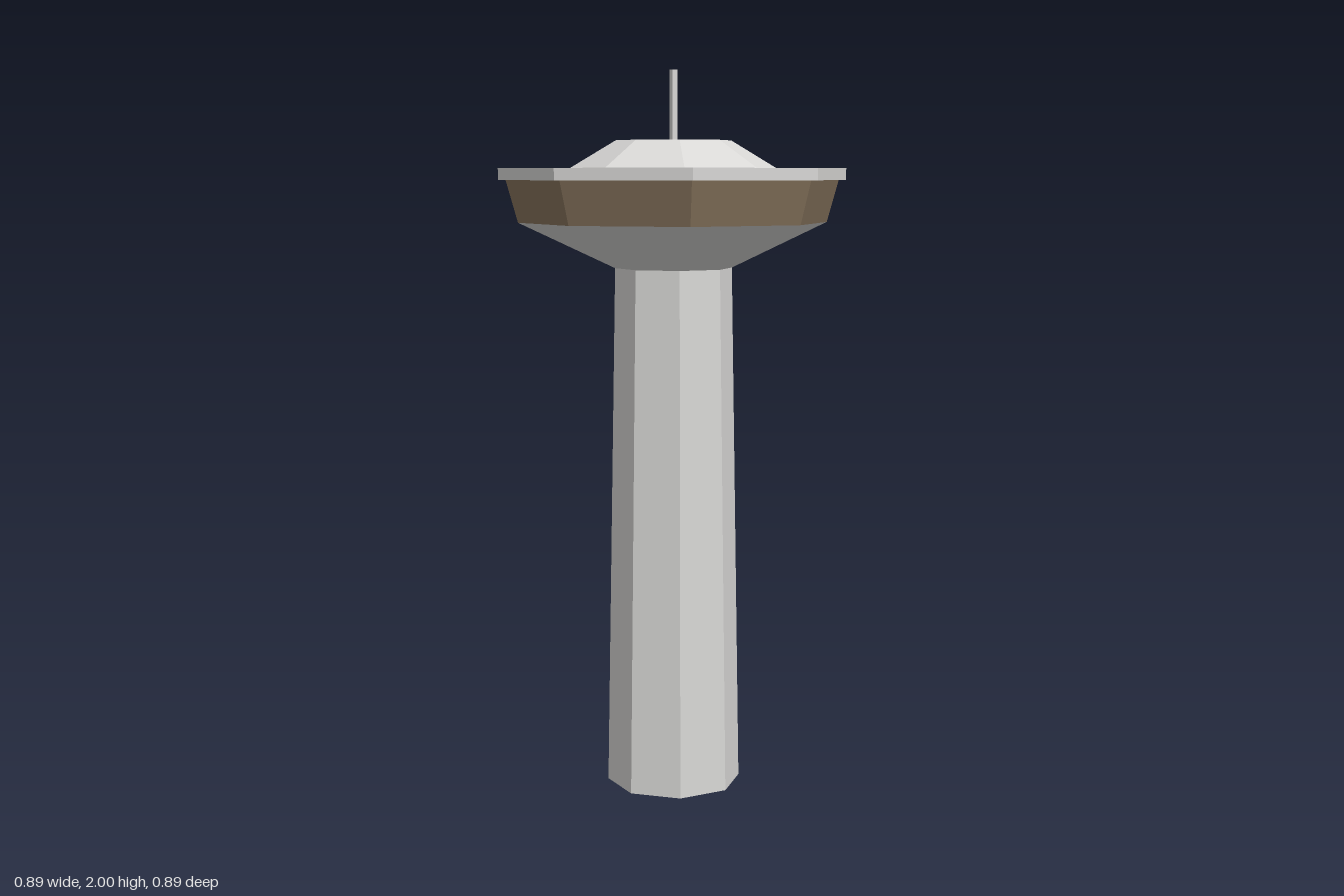
import * as THREE from 'three';

const mat = (name, color, side = THREE.FrontSide) => {
  const m = new THREE.MeshStandardMaterial({ color, side });
  m.name = name;
  m.flatShading = true;
  return m;
};

const T = Math.tan(Math.PI / 8);

// Octagonal frustum with flat sides facing the axes; radii are centre-to-side distances
function octagon(name, material, bottom, top, y0, y1, open = false) {
  const k = 1 / Math.cos(Math.PI / 8);
  const g = new THREE.CylinderGeometry(top * k, bottom * k, y1 - y0, 8, 1, open);
  g.rotateY(Math.PI / 8);
  g.translate(0, (y0 + y1) / 2, 0);
  const mesh = new THREE.Mesh(g, material);
  mesh.name = name;
  return mesh;
}

export function createModel() {
  const concrete = mat('light concrete', 0xd8d7d5, THREE.DoubleSide);
  const brown = mat('brown glass', 0x87745d);

  const tower = new THREE.Group();
  tower.name = 'controlTower';

  // Tapering hollow shaft
  tower.add(octagon('shaft', concrete, 0.174, 0.15, 0, 1.462, true));

  // Shaft floor, left open along its +z side
  const a = 0.174, t = a * T;
  const floorShape = new THREE.Shape(
    [[a, t], [-a, t], [-a, -t], [-t, -a], [t, -a], [a, -t]].map(([x, z]) => new THREE.Vector2(x, z)));
  const floorGeometry = new THREE.ShapeGeometry(floorShape);
  floorGeometry.rotateX(Math.PI / 2);
  const floor = new THREE.Mesh(floorGeometry, concrete);
  floor.name = 'shaftFloor';
  tower.add(floor);

  // Cabin: flared underside, sloping window band, roof slab and raised cap
  tower.add(octagon('cabinUnderside', concrete, 0.15, 0.395, 1.462, 1.587));
  tower.add(octagon('windowBand', brown, 0.395, 0.425, 1.587, 1.703, true));
  tower.add(octagon('roofSlab', concrete, 0.444, 0.444, 1.703, 1.735));
  tower.add(octagon('roofCap', concrete, 0.263, 0.147, 1.735, 1.81));

  // Square antenna mast
  const antenna = new THREE.Mesh(new THREE.BoxGeometry(0.016, 0.19, 0.016), concrete);
  antenna.name = 'antenna';
  antenna.position.y = 1.905;
  tower.add(antenna);

  return tower;
}
